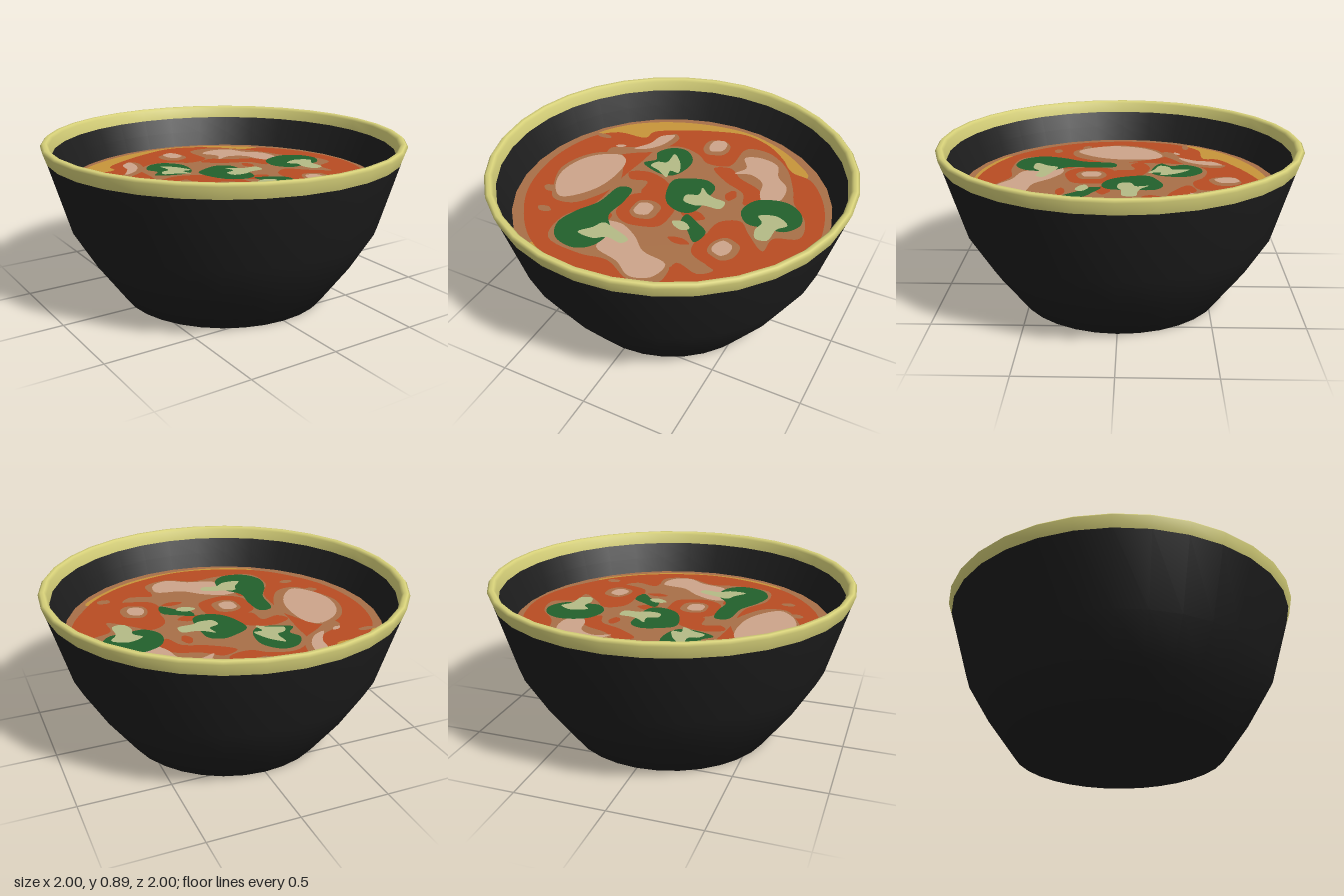
import * as THREE from 'three';

const mat = (name, color) => {
  const m = new THREE.MeshStandardMaterial({ color });
  m.name = name;
  return m;
};

export function createModel() {
  const M = {
    black: mat('black glaze', 0x1e1e1e),
    rim: mat('yellow rim', 0xd8d27a),
    broth: mat('brown broth', 0xa87048),
    oil: mat('golden oil', 0xc8953a),
    red: mat('red broth', 0xb84c22),
    meat: mat('pale meat', 0xcda48a),
    green: mat('broccoli green', 0x22602c),
    stem: mat('broccoli stem', 0xb4bb86),
  };
  const group = new THREE.Group();
  const SOUP = 0.645;

  const add = (name, geo, material, y = 0) => {
    const mesh = new THREE.Mesh(geo, material);
    mesh.name = name;
    mesh.position.y = y;
    group.add(mesh);
    return mesh;
  };
  const lathe = (name, pts, material) =>
    add(name, new THREE.LatheGeometry(pts.map(([r, y]) => new THREE.Vector2(r, y)), 32), material);

  // Flat soft-edged patch floating on the soup; points are [x, z]
  const patch = (name, material, layer, pts) => {
    const curve = new THREE.CatmullRomCurve3(pts.map(([x, z]) => new THREE.Vector3(x, -z, 0)), true, 'centripetal');
    const outline = curve.getPoints(pts.length * 5).slice(0, -1).map((p) => new THREE.Vector2(p.x, p.y));
    const geo = new THREE.ShapeGeometry(new THREE.Shape(outline));
    geo.rotateX(-Math.PI / 2);
    return add(name, geo, material, SOUP + layer * 0.002);
  };
  // Slightly irregular oval patch
  const oval = (name, material, layer, x, z, rx, rz = rx, turn = 0) => {
    const pts = [];
    for (let i = 0; i < 10; i++) {
      const a = (i / 10) * Math.PI * 2;
      const k = 1 + 0.06 * Math.sin(i * 2.4 + x * 9);
      const u = Math.cos(a) * rx * k, v = Math.sin(a) * rz * k;
      pts.push([x + u * Math.cos(turn) - v * Math.sin(turn), z + u * Math.sin(turn) + v * Math.cos(turn)]);
    }
    return patch(name, material, layer, pts);
  };

  // Bowl
  lathe('bowlOutside', [[0, 0], [0.3, 0], [0.58, 0], [0.74, 0.22], [0.865, 0.43], [0.977, 0.815]], M.black);
  lathe('bowlInside', [[0.945, 0.825], [0.91, 0.73], [0.875, 0.63]], M.black);
  lathe('bowlRim', [[0.977, 0.812], [0.998, 0.875], [0.985, 0.889], [0.965, 0.889], [0.952, 0.875], [0.943, 0.82]], M.rim);

  // Soup surface
  const soup = new THREE.CircleGeometry(0.89, 32);
  soup.rotateX(-Math.PI / 2);
  add('broth', soup, M.broth, SOUP);

  // Oil crescents, then the red broth over them
  patch('oilBack', M.oil, 1, [[-0.73, -0.4], [-0.63, -0.57], [-0.45, -0.71], [-0.2, -0.81], [0.08, -0.84], [0.3, -0.78],
    [0.48, -0.67], [0.6, -0.54], [0.4, -0.45], [0, -0.6], [-0.5, -0.4]]);
  patch('oilFront', M.oil, 1, [[-0.48, 0.68], [-0.25, 0.8], [0, 0.83], [0.25, 0.79], [0.48, 0.68], [0.67, 0.5], [0.4, 0.5], [-0.3, 0.6]]);
  patch('redBroth', M.red, 2, [[-0.82, 0], [-0.8, -0.2], [-0.73, -0.38], [-0.62, -0.48], [-0.44, -0.5], [-0.43, -0.58],
    [-0.3, -0.67], [-0.1, -0.76], [0.1, -0.81], [0.27, -0.76], [0.4, -0.66], [0.5, -0.55], [0.62, -0.52], [0.75, -0.36],
    [0.83, -0.15], [0.85, 0.05], [0.8, 0.25], [0.7, 0.42], [0.6, 0.55], [0.45, 0.67], [0.25, 0.76], [0, 0.81],
    [-0.25, 0.77], [-0.5, 0.65], [-0.68, 0.45], [-0.78, 0.25]]);

  // Brown pools between the toppings
  patch('brothPool', M.broth, 3, [[-0.31, -0.42], [-0.2, -0.5], [-0.06, -0.47], [0.02, -0.41], [0.15, -0.44], [0.17, -0.66],
    [0.3, -0.68], [0.45, -0.58], [0.56, -0.4], [0.62, -0.26], [0.73, -0.13], [0.75, 0.02], [0.63, 0.08], [0.62, 0.2],
    [0.5, 0.1], [0.42, 0.02], [0.32, 0.08], [0.32, 0.28], [0.4, 0.42], [0.46, 0.45], [0.4, 0.51], [0.27, 0.48],
    [0.26, 0.65], [0.12, 0.7], [-0.05, 0.62], [-0.2, 0.64], [-0.42, 0.6], [-0.45, 0.42], [-0.36, 0.25], [-0.35, -0.05],
    [-0.33, -0.25]]);
  oval('meatHalo', M.broth, 3, -0.53, 0.02, 0.18, 0.28);
  patch('brothStreak', M.broth, 3, [[-0.3, -0.62], [-0.25, -0.58], [-0.3, -0.4], [-0.42, -0.31], [-0.55, -0.22], [-0.57, -0.3], [-0.4, -0.4]]);
  for (const [x, z, rx, rz] of [[-0.68, -0.4, 0.05, 0.02], [-0.58, 0.4, 0.04, 0.025], [0.56, 0.5, 0.04, 0.03], [0, -0.59, 0.08, 0.09], [-0.65, 0.22, 0.05, 0.03]])
    oval('brothSpot', M.broth, 3, x, z, rx, rz);

  // Red swirls on the pools
  patch('redSwirl', M.red, 4, [[-0.34, -0.12], [-0.24, -0.17], [-0.1, -0.13], [-0.03, -0.05], [-0.05, 0.04], [-0.18, 0.03], [-0.2, -0.08], [-0.3, -0.06]]);
  patch('redSwirl', M.red, 4, [[0.08, -0.38], [0.17, -0.42], [0.26, -0.35], [0.4, -0.29], [0.46, -0.2], [0.38, -0.12], [0.33, -0.22], [0.2, -0.28]]);
  for (const [x, z, rx, rz] of [[0.3, 0.53, 0.04, 0.04], [0.45, 0.53, 0.035, 0.04], [0.2, 0.32, 0.06, 0.025], [0.17, 0.09, 0.07, 0.04], [0.28, -0.17, 0.03, 0.05], [-0.24, 0.32, 0.03, 0.05]])
    oval('redSpot', M.red, 4, x, z, rx, rz);

  // Sliced rings with pale centres
  for (const [x, z, r] of [[-0.08, 0.165, 0.155], [0.44, 0.28, 0.16]]) {
    oval('ringSlice', M.red, 5, x, z, r);
    oval('ringHalo', M.broth, 6, x, z, 0.08, 0.09);
    oval('ringCentre', M.meat, 7, x - 0.01, z, 0.05, 0.06);
  }
  oval('ringCentre', M.meat, 7, 0.005, -0.6, 0.05, 0.07);

  // Meat pieces
  patch('meatLeft', M.meat, 5, [[-0.47, -0.25], [-0.41, -0.2], [-0.4, 0.03], [-0.46, 0.18], [-0.56, 0.27], [-0.64, 0.2], [-0.69, 0.05], [-0.65, -0.12], [-0.57, -0.21]]);
  patch('meatBack', M.meat, 5, [[0.2, -0.56], [0.28, -0.6], [0.4, -0.57], [0.45, -0.46], [0.53, -0.38], [0.54, -0.24], [0.48, -0.17], [0.42, -0.25], [0.39, -0.36], [0.3, -0.41], [0.21, -0.38], [0.25, -0.46]]);
  patch('meatFront', M.meat, 5, [[-0.24, 0.36], [-0.14, 0.33], [-0.02, 0.39], [0.08, 0.48], [0.23, 0.52], [0.21, 0.64], [0.11, 0.68], [0, 0.61], [-0.15, 0.56], [-0.16, 0.45]]);
  patch('meatSliver', M.meat, 5, [[-0.29, -0.6], [-0.3, -0.48], [-0.37, -0.38], [-0.44, -0.35], [-0.38, -0.45], [-0.36, -0.55]]);
  oval('meatCrumb', M.meat, 5, -0.525, -0.34, 0.03, 0.015, -0.5);

  // Broccoli heads
  patch('broccoliBack', M.green, 6, [[-0.31, -0.24], [-0.26, -0.3], [-0.29, -0.37], [-0.23, -0.46], [-0.14, -0.47], [-0.06, -0.38], [-0.07, -0.24], [-0.12, -0.18], [-0.25, -0.2]]);
  patch('broccoliCentre', M.green, 6, [[-0.07, -0.16], [0, -0.21], [0.1, -0.24], [0.17, -0.2], [0.18, -0.1], [0.16, 0.07], [0.1, 0.1], [0, 0.06], [-0.06, -0.05]]);
  patch('broccoliRight', M.green, 6, [[0.39, -0.06], [0.42, -0.18], [0.5, -0.23], [0.6, -0.24], [0.69, -0.18], [0.72, -0.08], [0.66, 0.01], [0.57, 0.02], [0.46, 0.03]]);
  patch('broccoliFront', M.green, 6, [[-0.31, 0.04], [-0.24, 0.03], [-0.22, 0.16], [-0.23, 0.3], [-0.15, 0.42], [-0.17, 0.56], [-0.25, 0.62], [-0.38, 0.59], [-0.44, 0.48], [-0.41, 0.35], [-0.34, 0.22]]);
  patch('broccoliBit', M.green, 6, [[0.14, 0.1], [0.22, 0.14], [0.3, 0.2], [0.28, 0.3], [0.2, 0.22], [0.14, 0.17]]);

  // Broccoli stems
  patch('stemBack', M.stem, 7, [[-0.19, -0.4], [-0.14, -0.36], [-0.1, -0.3], [-0.08, -0.23], [-0.13, -0.23], [-0.12, -0.16], [-0.19, -0.2], [-0.26, -0.23], [-0.24, -0.28], [-0.19, -0.3]]);
  patch('stemCentre', M.stem, 7, [[0.11, -0.16], [0.16, -0.12], [0.21, -0.1], [0.28, -0.09], [0.28, -0.02], [0.19, -0.01], [0.15, 0.01], [0.07, 0], [0.06, -0.06], [0.12, -0.09]]);
  patch('stemRight', M.stem, 7, [[0.49, -0.06], [0.58, -0.1], [0.66, -0.05], [0.62, 0.01], [0.61, 0.12], [0.55, 0.13], [0.52, 0.06], [0.53, -0.01]]);
  patch('stemFront', M.stem, 7, [[-0.3, 0.5], [-0.25, 0.43], [-0.22, 0.37], [-0.14, 0.39], [-0.03, 0.44], [-0.05, 0.48], [-0.14, 0.47], [-0.2, 0.51]]);
  patch('stemBit', M.stem, 7, [[0.1, 0.19], [0.16, 0.17], [0.21, 0.21], [0.18, 0.24], [0.12, 0.22]]);

  return group;
}
